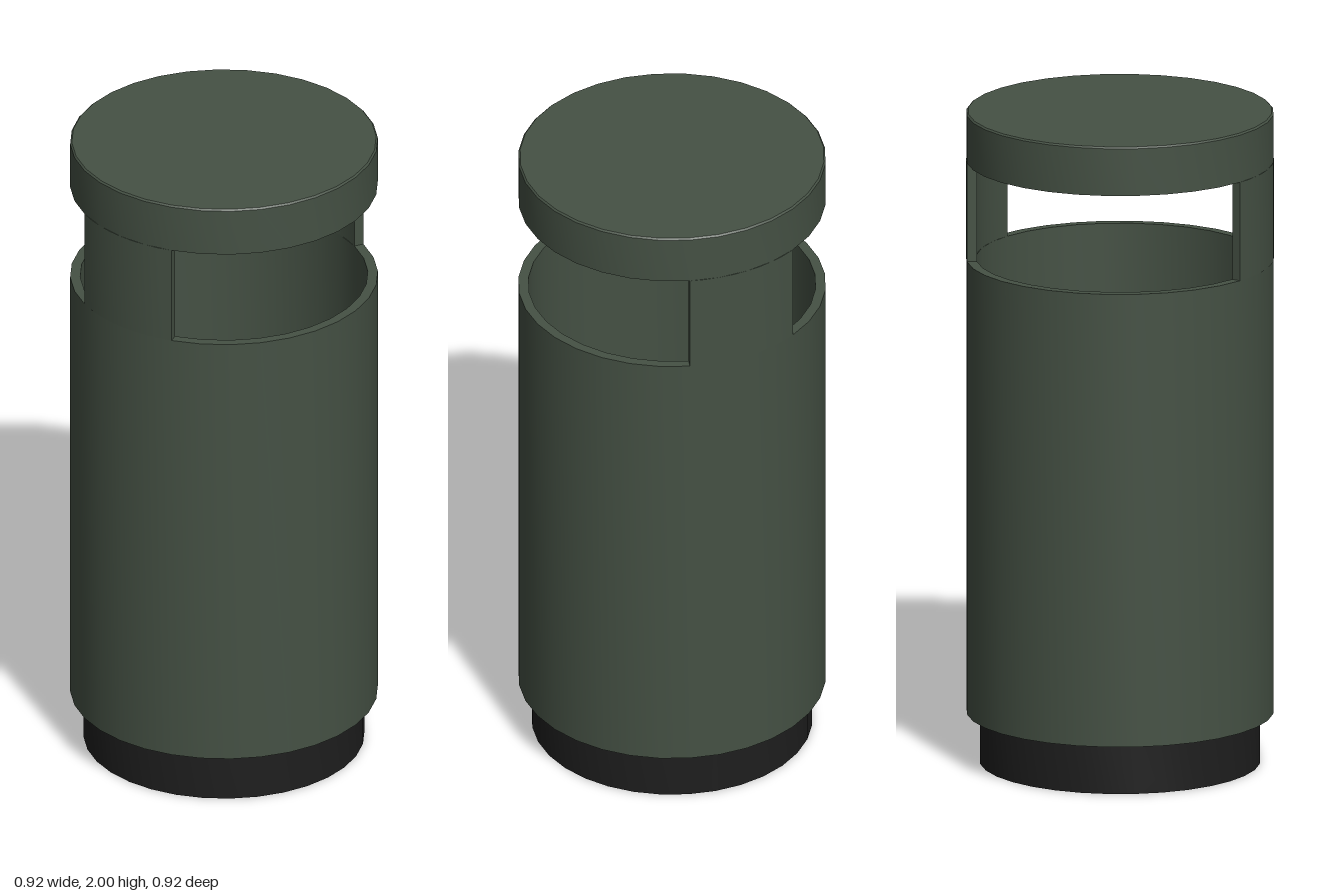
import * as THREE from 'three';
import { toCreasedNormals } from 'three/addons/utils/BufferGeometryUtils.js';

const SIDES = 32;
const OUTER = 0.46, INNER = 0.43;
const BASE_TOP = 0.154, RIM = 1.547, LID_BOTTOM = 1.85, TOP = 2;

// Revolve a profile of [radius, height] pairs, keeping hard edges sharp
function turned(profile) {
  const points = profile.map(([r, y]) => new THREE.Vector2(r, y));
  return toCreasedNormals(new THREE.LatheGeometry(points, SIDES), 0.5);
}

export function createModel() {
  const group = new THREE.Group();
  const green = new THREE.MeshStandardMaterial({ color: 0x455144 });
  green.name = 'dark green paint';
  const black = new THREE.MeshStandardMaterial({ color: 0x1e1e1e });
  black.name = 'black plinth';

  function add(name, geometry, material) {
    const mesh = new THREE.Mesh(geometry, material);
    mesh.name = name;
    group.add(mesh);
    return mesh;
  }

  // Recessed plinth
  add('base', turned([[0, 0], [0.42, 0], [0.42, BASE_TOP], [0, BASE_TOP]]), black);

  // Hollow container with a thin wall and a floor
  add('body', turned([
    [0, BASE_TOP], [OUTER, BASE_TOP], [OUTER, RIM],
    [INNER, RIM], [INNER, BASE_TOP + 0.03], [0, BASE_TOP + 0.03],
  ]), green);

  // Solid lid with a tiny softened top edge
  add('lid', turned([
    [0, LID_BOTTOM], [OUTER, LID_BOTTOM], [OUTER, TOP - 0.005],
    [OUTER - 0.005, TOP], [0, TOP],
  ]), green);

  // Curved front and back pillars, between the two side openings
  const half = Math.PI / 8;
  const arc = new THREE.Shape();
  arc.absarc(0, 0, OUTER, Math.PI / 2 - half, Math.PI / 2 + half, false);
  arc.absarc(0, 0, INNER, Math.PI / 2 + half, Math.PI / 2 - half, true);
  const pillar = toCreasedNormals(new THREE.ExtrudeGeometry(arc, {
    depth: LID_BOTTOM - RIM, curveSegments: 4, bevelEnabled: false,
  }).rotateX(-Math.PI / 2).translate(0, RIM, 0), 0.5);
  add('backPillar', pillar, green);
  add('frontPillar', pillar, green).rotation.y = Math.PI;

  return group;
}
